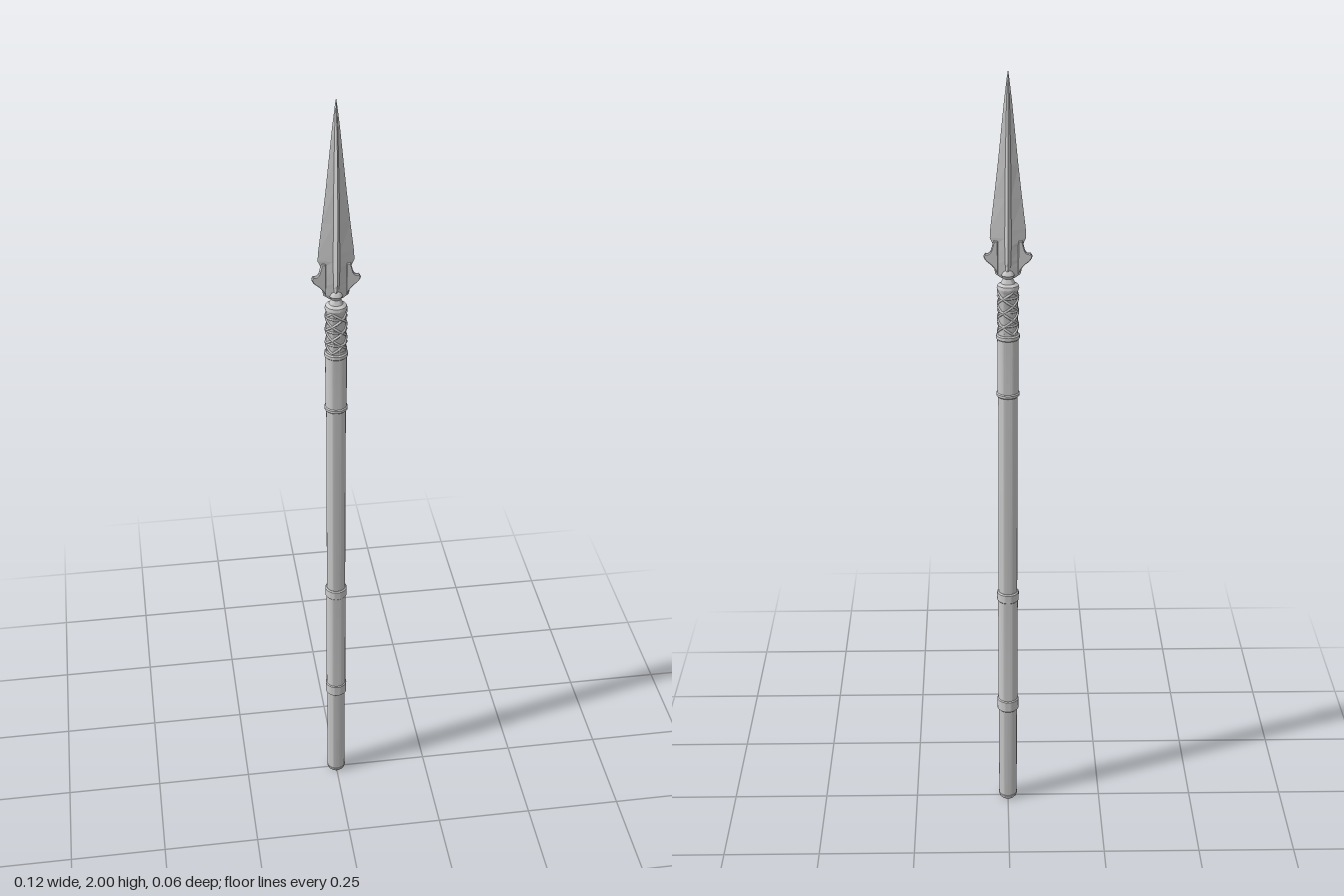
import * as THREE from 'three';
import { toCreasedNormals } from 'three/addons/utils/BufferGeometryUtils.js';

const grey = new THREE.MeshStandardMaterial({ color: 0xcccccc });
const faceted = new THREE.MeshStandardMaterial({ color: 0xcccccc, flatShading: true, side: THREE.DoubleSide });

// Turned part from [radius, height] pairs
function turned(name, points, sides = 32) {
  const lathe = new THREE.LatheGeometry(points.map(([r, y]) => new THREE.Vector2(r, y)), sides);
  const mesh = new THREE.Mesh(toCreasedNormals(lathe, 0.6), grey);
  mesh.name = name;
  return mesh;
}

// Bevelled band around the shaft
function band(name, y0, y1, r) {
  const b = 0.003;
  return turned(name, [[0.022, y0], [r - b, y0], [r, y0 + b], [r, y1 - b], [r - b, y1], [0.022, y1]]);
}

// Four-edged blade: star-shaped sections of [y, half width x, half depth z, valley]
function bladeGeometry(sections) {
  const positions = [], index = [];
  for (const [y, w, d, v] of sections) {
    for (let i = 0; i < 8; i++) {
      const a = (i * Math.PI) / 4;
      const rx = i % 2 ? v : w, rz = i % 2 ? v : d;
      positions.push(Math.cos(a) * rx, y, Math.sin(a) * rz);
    }
  }
  for (let s = 0; s < sections.length - 1; s++) {
    for (let i = 0; i < 8; i++) {
      const a = s * 8 + i, b = s * 8 + ((i + 1) % 8);
      index.push(a, a + 8, b, b, a + 8, b + 8);
    }
  }
  for (let i = 1; i < 7; i++) index.push(0, i, i + 1);
  const g = new THREE.BufferGeometry();
  g.setAttribute('position', new THREE.Float32BufferAttribute(positions, 3));
  g.setIndex(index);
  g.computeVertexNormals();
  return g;
}

export function createModel() {
  const spear = new THREE.Group();
  spear.name = 'spear';

  // Shaft with rounded butt
  spear.add(turned('shaft', [[0, 0], [0.019, 0], [0.023, 0.005], [0.024, 0.012], [0.024, 1.37], [0, 1.37]]));
  spear.add(band('buttRing', 0.008, 0.016, 0.025));

  // Lower grip and its end bands
  spear.add(turned('lowerGrip', [[0.0235, 0.3], [0.0255, 0.3], [0.0255, 0.64], [0.0235, 0.64]]));
  spear.add(band('lowerGripBand', 0.287, 0.322, 0.028));
  spear.add(band('upperGripBand', 0.622, 0.65, 0.028));

  // Collar below the head
  spear.add(turned('collar', [[0.0235, 1.205], [0.026, 1.205], [0.026, 1.355], [0.0235, 1.355]]));
  spear.add(band('collarLowerRing', 1.2, 1.212, 0.0285));
  spear.add(band('collarUpperRing', 1.35, 1.364, 0.0285));

  // Socket core, rim and neck
  spear.add(turned('socket', [[0.022, 1.36], [0.0235, 1.37], [0.0235, 1.47], [0.025, 1.475],
    [0.027, 1.481], [0.025, 1.488], [0.017, 1.493], [0.012, 1.505], [0.016, 1.513], [0.012, 1.522], [0, 1.53]]));

  // Crossed cord lashing on the socket
  const lashing = new THREE.Group();
  lashing.name = 'lashing';
  for (const hand of [-1, 1]) {
    for (let k = 0; k < 3; k++) {
      const points = [];
      for (let i = 0; i <= 24; i++) {
        const t = i / 24, a = hand * t * Math.PI * 2 + (k * Math.PI * 2) / 3;
        points.push(new THREE.Vector3(Math.cos(a) * 0.024, 1.368 + t * 0.108, Math.sin(a) * 0.024));
      }
      const cord = new THREE.Mesh(new THREE.TubeGeometry(new THREE.CatmullRomCurve3(points), 48, 0.003, 6), grey);
      cord.name = 'cord';
      lashing.add(cord);
    }
  }
  for (const y of [1.39, 1.425, 1.46]) {
    const loop = new THREE.Mesh(new THREE.TorusGeometry(0.0242, 0.0028, 6, 32), grey);
    loop.rotation.x = Math.PI / 2;
    loop.position.y = y;
    loop.name = 'cordLoop';
    lashing.add(loop);
  }
  spear.add(lashing);

  // Blade with front and back ridges
  const blade = new THREE.Mesh(bladeGeometry([
    [1.505, 0.016, 0.006, 0.006], [1.515, 0.03, 0.008, 0.008], [1.535, 0.034, 0.014, 0.009],
    [1.55, 0.034, 0.022, 0.01], [1.585, 0.034, 0.025, 0.011], [1.605, 0.043, 0.026, 0.011],
    [1.625, 0.042, 0.027, 0.011], [1.7, 0.033, 0.028, 0.01], [1.78, 0.024, 0.027, 0.009],
    [1.86, 0.016, 0.022, 0.007], [1.93, 0.009, 0.014, 0.005], [1.98, 0.003, 0.005, 0.002], [2, 0, 0, 0],
  ]), faceted);
  blade.name = 'blade';
  spear.add(blade);

  // Hooked barbs at the blade base
  const hook = new THREE.Shape();
  hook.moveTo(0.024, 1.515);
  hook.quadraticCurveTo(0.034, 1.535, 0.046, 1.543);
  hook.quadraticCurveTo(0.056, 1.55, 0.058, 1.56);
  hook.lineTo(0.054, 1.567);
  hook.quadraticCurveTo(0.044, 1.564, 0.04, 1.575);
  hook.lineTo(0.034, 1.598);
  hook.lineTo(0.024, 1.598);
  const hookGeometry = new THREE.ExtrudeGeometry(hook, {
    depth: 0.006, bevelThickness: 0.003, bevelSize: 0.002, bevelOffset: -0.002, bevelSegments: 1, curveSegments: 6,
  });
  hookGeometry.translate(0, 0, -0.003);
  for (const side of [0, 1]) {
    const barb = new THREE.Mesh(hookGeometry, faceted);
    barb.rotation.y = side * Math.PI;
    barb.name = side ? 'rightBarb' : 'leftBarb';
    spear.add(barb);
  }
  return spear;
}
